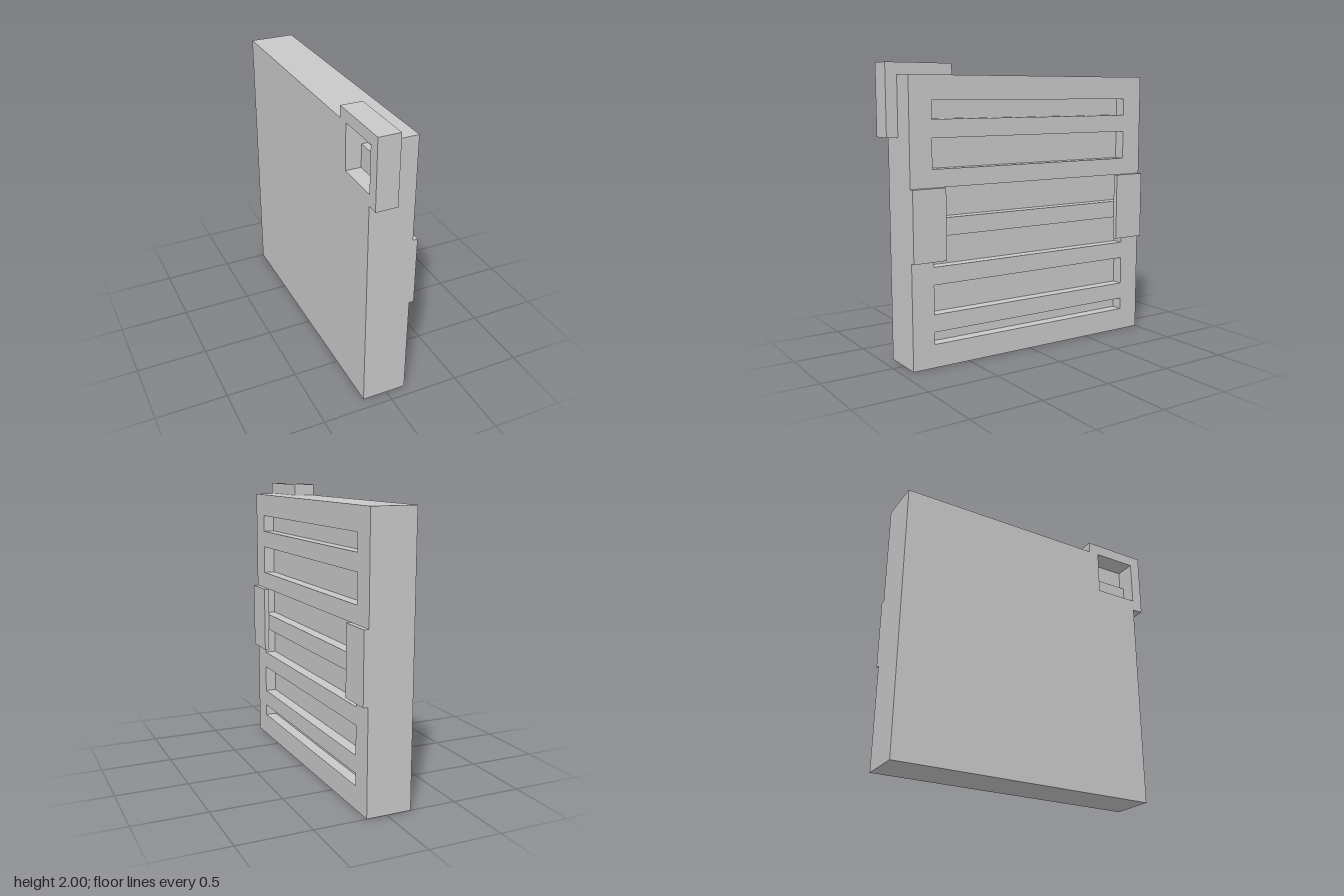
import * as THREE from 'three';

const X_BACK = -0.173, X_BRACKET = -0.023, X_FLOOR = 0.06, X_FACE = 0.14, X_PAD = 0.173;

export function createModel() {
  const group = new THREE.Group();
  const grey = new THREE.MeshStandardMaterial({ color: 0xc8c8c8 });
  grey.name = 'grey';

  const add = (geometry, name) => {
    const mesh = new THREE.Mesh(geometry, grey);
    mesh.name = name;
    group.add(mesh);
    return mesh;
  };
  // Box given by its extents on each axis
  const box = (name, x0, x1, y0, y1, z0, z1) =>
    add(new THREE.BoxGeometry(x1 - x0, y1 - y0, z1 - z0), name)
      .position.set((x0 + x1) / 2, (y0 + y1) / 2, (z0 + z1) / 2);
  // Outline from [z, y] points, extruded along x
  const outline = (points) => points.map(([z, y]) => new THREE.Vector2(-z, y));
  // Counter-clockwise, so that hole walls face into the hole
  const rect = (z0, z1, y0, y1) => outline([[z1, y0], [z0, y0], [z0, y1], [z1, y1]]);
  const plate = (name, points, x0, x1, holes = []) => {
    const shape = new THREE.Shape(points);
    shape.holes = holes.map((h) => new THREE.Path(h));
    const geometry = new THREE.ExtrudeGeometry(shape, { depth: x1 - x0, bevelEnabled: false });
    geometry.rotateY(Math.PI / 2).translate(x0, 0, 0);
    add(geometry, name);
  };

  // Slab: rear layer with a corner notch, solid core, slotted face
  plate('rearPanel', outline([[-1, 0], [0.92, 0], [0.92, 1.6], [0.6, 1.6], [0.6, 1.92], [-1, 1.92]]), X_BACK, X_BRACKET);
  box('core', X_BRACKET, X_FLOOR, 0, 1.92, -1, 0.92);
  const slots = [[0.16, 0.243], [0.362, 0.56], [0.68, 0.88], [1, 1.2], [1.32, 1.52], [1.64, 1.76]];
  plate('slottedFace', rect(-1, 0.92, 0, 1.92), X_FLOOR, X_FACE,
    slots.map(([y0, y1]) => rect(-0.84, 0.76, y0, y1)));

  // Ledge inside the corner notch
  box('notchLedge', -0.066, X_BRACKET, 1.6, 1.76, 0.6, 0.92);

  // Loop wrapped around the upper corner
  plate('cornerLoop', outline([[0.52, 1.92], [0.92, 1.92], [0.92, 1.52], [1, 1.52], [1, 2], [0.52, 2]]), X_BACK, X_BRACKET);

  // Pads bridging the slot ends
  for (const [z0, z1] of [[0.68, 0.92], [-1, -0.76]]) box('sidePad', X_FACE, X_PAD, 0.72, 1.2, z0, z1);

  return group;
}
